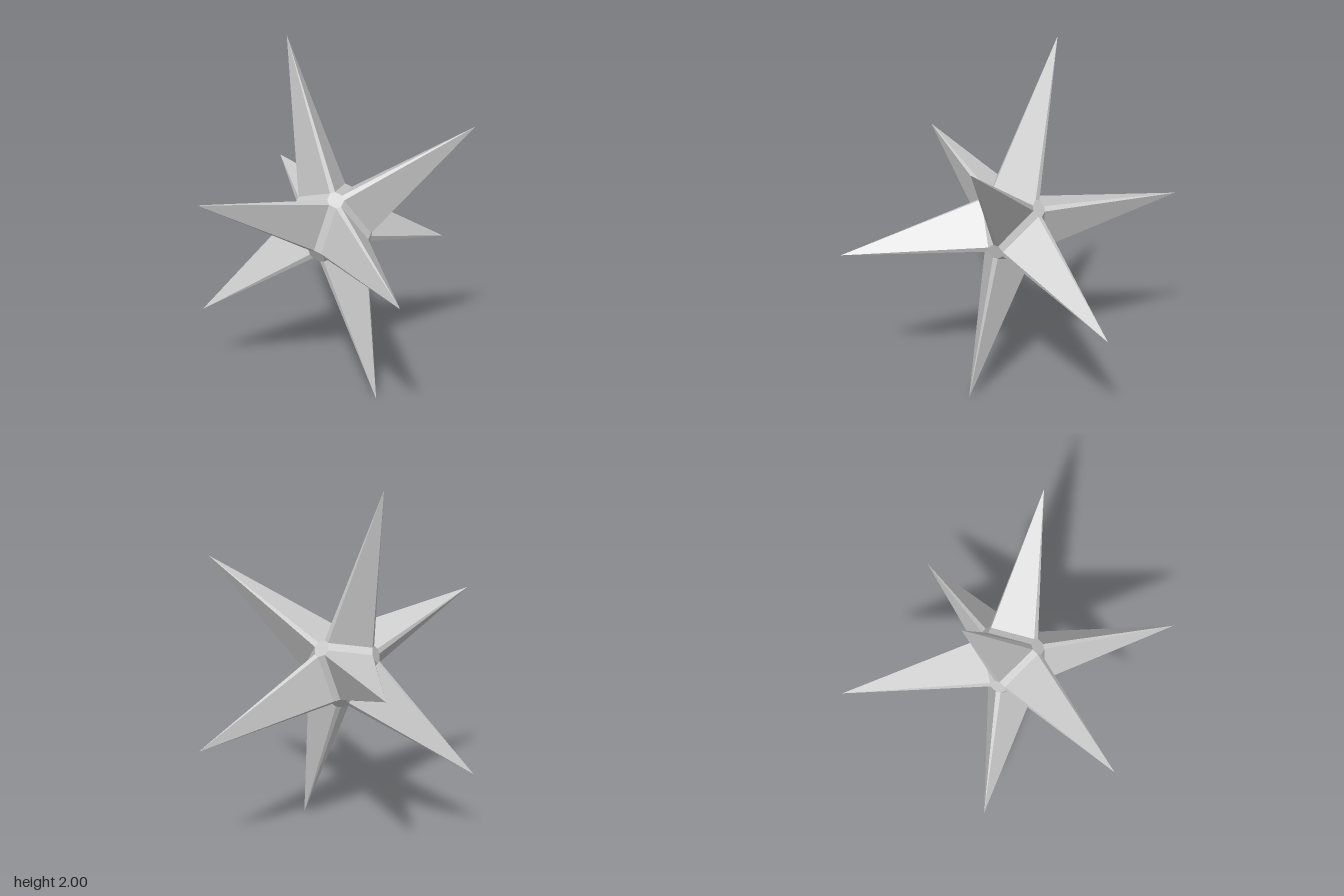
import * as THREE from 'three';

// Skewed axes of the star: every spike tip is a signed sum of the three
const AXES = [
  new THREE.Vector3(0.2, 0.45, 0.275),
  new THREE.Vector3(-0.01, 0.339, -0.452),
  new THREE.Vector3(-0.51, 0.211, 0.113),
];
const H = 0.4;    // distance of the flat hubs from the centre
const A = 0.038;  // half width of the ridge strips
const B = 0.075;  // half width of the hubs

const material = new THREE.MeshStandardMaterial({ color: 0xcccccc, flatShading: true });
const SIGNS = [1, -1];

const place = (c) => new THREE.Vector3()
  .addScaledVector(AXES[0], c[0]).addScaledVector(AXES[1], c[1]).addScaledVector(AXES[2], c[2]);

// Mesh of convex polygons, each turned to face away from an inner point
function facetMesh(name, polygons, inner) {
  const positions = [];
  for (const polygon of polygons) {
    const p = polygon.map(place);
    for (let i = 1; i < p.length - 1; i++) {
      const t = new THREE.Triangle(p[0], p[i], p[i + 1]);
      const normal = t.getNormal(new THREE.Vector3());
      const outward = normal.dot(p[0].clone().sub(inner)) > 0;
      for (const v of outward ? [t.a, t.b, t.c] : [t.a, t.c, t.b]) positions.push(v.x, v.y, v.z);
    }
  }
  const geometry = new THREE.BufferGeometry();
  geometry.setAttribute('position', new THREE.Float32BufferAttribute(positions, 3));
  geometry.computeVertexNormals();
  const mesh = new THREE.Mesh(geometry, material);
  mesh.name = name;
  return mesh;
}

// Coordinates with values u, v, w on axes i, i+1, i+2
function coords(i, u, v, w) {
  const c = [0, 0, 0];
  c[i] = u;
  c[(i + 1) % 3] = v;
  c[(i + 2) % 3] = w;
  return c;
}

export function createModel() {
  const star = new THREE.Group();
  star.name = 'spikedStar';
  const centre = new THREE.Vector3();

  // Eight spikes on six-sided bases with alternating long and short edges
  const base = [[H, B, A], [B, H, A], [A, H, B], [A, B, H], [B, A, H], [H, A, B]];
  for (const sx of SIGNS) for (const sy of SIGNS) for (const sz of SIGNS) {
    const tip = [sx, sy, sz];
    const ring = base.map((c) => c.map((value, k) => value * tip[k]));
    const sides = ring.map((c, k) => [tip, c, ring[(k + 1) % 6]]);
    const baseCentre = place(tip).multiplyScalar((H + A + B) / 3);
    star.add(facetMesh('spike', sides, baseCentre));
  }

  const octagon = [[B, A], [A, B], [-A, B], [-B, A], [-B, -A], [-A, -B], [A, -B], [B, -A]];
  for (let i = 0; i < 3; i++) {
    // Small flat hubs where four spikes meet
    for (const s of SIGNS) {
      star.add(facetMesh('hub', [octagon.map(([u, v]) => coords(i, s * H, u, v))], centre));
    }
    // Narrow ridge strips joining neighbouring hubs
    for (const s of SIGNS) for (const t of SIGNS) {
      star.add(facetMesh('ridgeStrip', [[
        coords(i, s * H, t * B, A), coords(i, s * B, t * H, A),
        coords(i, s * B, t * H, -A), coords(i, s * H, t * B, -A),
      ]], centre));
    }
  }

  star.position.y = 1;
  const model = new THREE.Group();
  model.name = 'model';
  model.add(star);
  return model;
}
